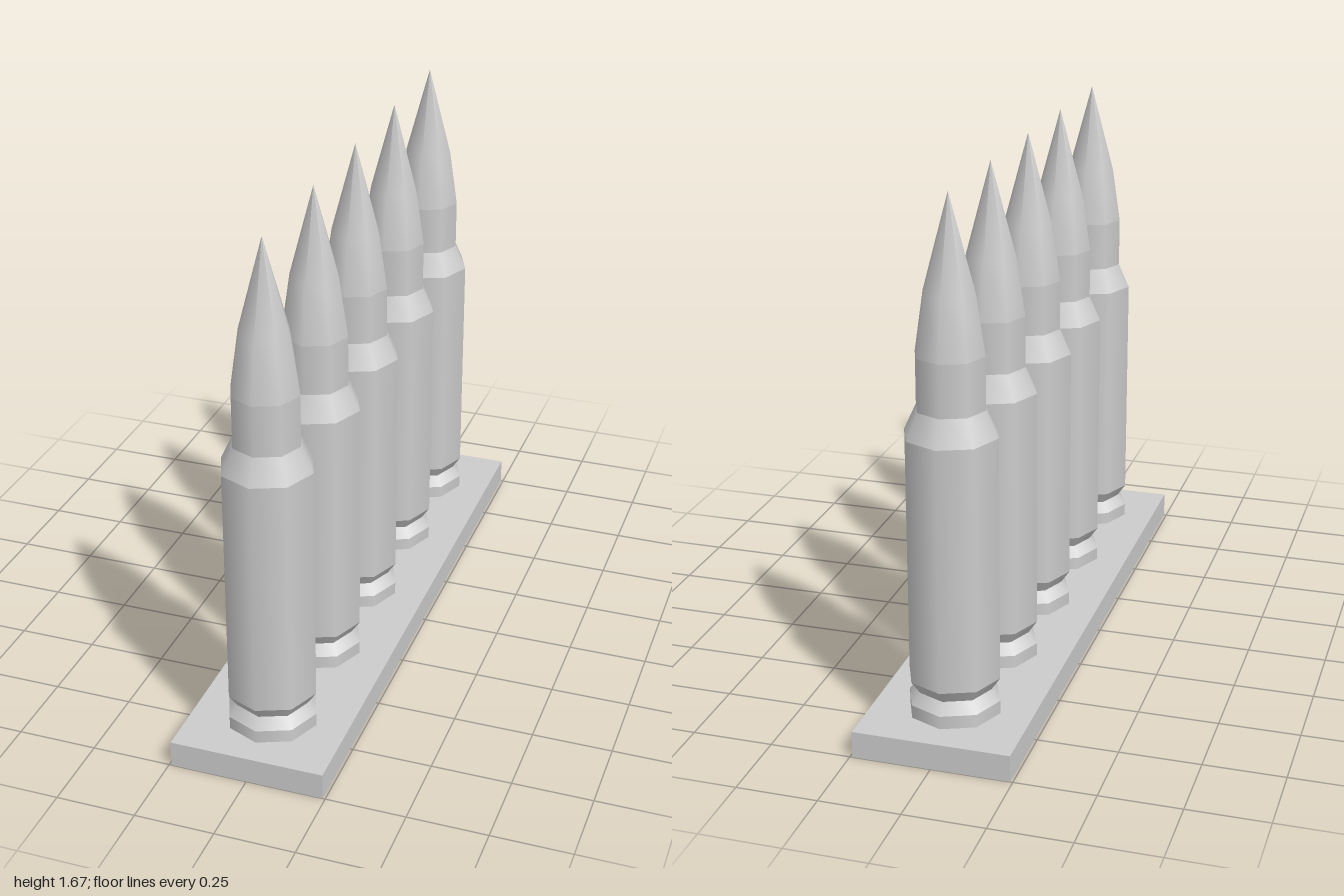
import * as THREE from 'three';

const material = new THREE.MeshStandardMaterial({ color: 0xcccccc });
const SIDES = 8;

// Eight-sided turned section, smooth inside and sharp where it meets the next.
// Profile points are [radius, height], listed from bottom to top.
function turned(name, profile) {
  const points = profile.map(([r, y]) => new THREE.Vector2(r, y));
  const mesh = new THREE.Mesh(new THREE.LatheGeometry(points, SIDES), material);
  mesh.name = name;
  return mesh;
}

function createCartridge() {
  const cartridge = new THREE.Group();
  cartridge.add(
    turned('rim', [[0.142, 0.08], [0.142, 0.125]]),
    turned('grooveLower', [[0.142, 0.125], [0.115, 0.16]]),
    turned('grooveUpper', [[0.115, 0.16], [0.142, 0.2]]),
    turned('caseBody', [[0.142, 0.2], [0.142, 0.96]]),
    turned('shoulder', [[0.142, 0.96], [0.105, 1.04]]),
    turned('neck', [[0.105, 1.04], [0.105, 1.2]]),
    turned('bulletTip', [[0.105, 1.2], [0.078, 1.38], [0, 1.667]])
  );
  return cartridge;
}

export function createModel() {
  const model = new THREE.Group();
  model.name = 'cartridgeRow';

  // Base plate
  const base = new THREE.Mesh(new THREE.BoxGeometry(0.484, 0.084, 2), material);
  base.name = 'basePlate';
  base.position.y = 0.042;
  model.add(base);

  // Slightly uneven row of cartridges, front to back
  [0.775, 0.37, 0, -0.384, -0.77].forEach((z, i) => {
    const cartridge = createCartridge();
    cartridge.name = `cartridge${i + 1}`;
    cartridge.position.z = z;
    model.add(cartridge);
  });

  return model;
}
